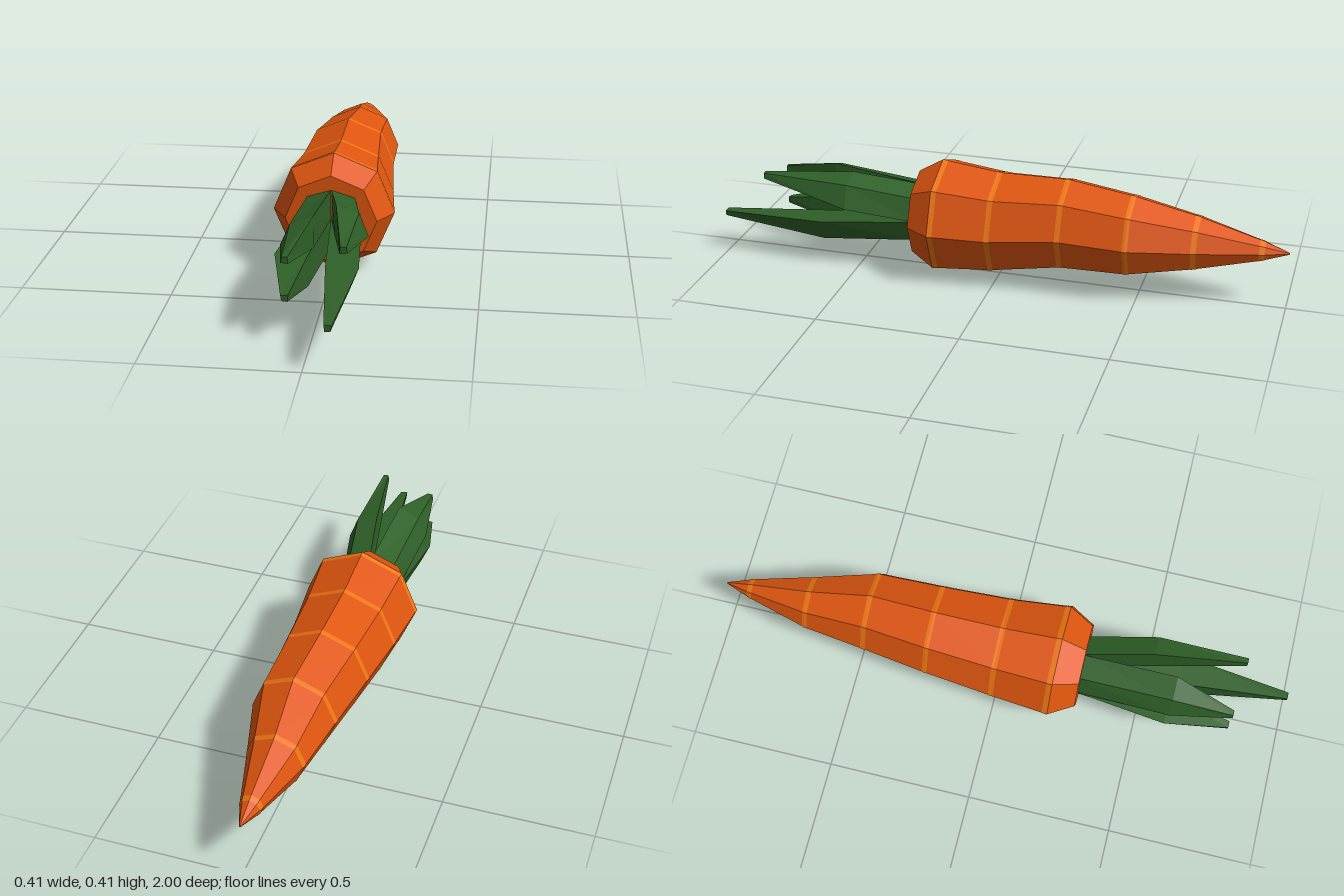
import * as THREE from 'three';

const MID = 0.204; // height of the long axis

// Skin cross-sections (equal point counts, counter-clockwise from +z, ordered back to front)
function loft(rings, capped = true) {
  const pos = [];
  const tri = (a, b, c) => pos.push(...a, ...b, ...c);
  const n = rings[0].length;
  for (let r = 0; r < rings.length - 1; r++) {
    const a = rings[r], b = rings[r + 1];
    for (let i = 0; i < n; i++) {
      const j = (i + 1) % n;
      tri(a[i], a[j], b[j]);
      tri(a[i], b[j], b[i]);
    }
  }
  if (capped) {
    const first = rings[0], last = rings[rings.length - 1];
    for (let i = 1; i < n - 1; i++) {
      tri(last[0], last[i], last[i + 1]);
      tri(first[0], first[i + 1], first[i]);
    }
  }
  const geo = new THREE.BufferGeometry();
  geo.setAttribute('position', new THREE.Float32BufferAttribute(pos, 3));
  geo.computeVertexNormals();
  return geo;
}

// Octagon with a corner straight up
function octagon({ z, r, x, y }) {
  return Array.from({ length: 8 }, (_, i) => {
    const a = (i * Math.PI) / 4;
    return [x + r * Math.cos(a), y + r * Math.sin(a), z];
  });
}

// Root profile from tip to crown: z, radius, centre x, centre y
const PROFILE = [
  [-1, 0.003, 0, MID],
  [-0.91, 0.036, 0, MID],
  [-0.69, 0.097, 0, 0.206],
  [-0.47, 0.144, 0.016, 0.214],
  [-0.24, 0.163, 0, 0.222],
  [0, 0.183, 0, 0.2],
  [0.205, 0.204, 0, MID],
  [0.29, 0.153, 0, MID],
].map(([z, r, x, y]) => ({ z, r, x, y }));

// Interpolated cross-section of the root, slightly enlarged
function sectionAt(z, grow) {
  const k = PROFILE.findIndex((p, i) => i > 0 && z <= p.z);
  const a = PROFILE[k - 1], b = PROFILE[k];
  const t = (z - a.z) / (b.z - a.z);
  const mix = (key) => THREE.MathUtils.lerp(a[key], b[key], t);
  return octagon({ z, r: mix('r') + grow, x: mix('x'), y: mix('y') });
}

// Leaves: quadrant signs, mid and tip z, tip centre, mid corners (inner, on x side, outer, on y side)
const LEAVES = [
  { name: 'leafUpperLeft', sx: 1, sy: 1, zMid: 0.52, zTip: 0.83, tip: [0.104, 0.321],
    mid: [[0.04, 0.243], [0.148, 0.243], [0.118, 0.322], [0.045, 0.345]] },
  { name: 'leafUpperRight', sx: -1, sy: 1, zMid: 0.61, zTip: 0.82, tip: [-0.076, 0.277],
    mid: [[-0.014, 0.235], [-0.12, 0.24], [-0.089, 0.312], [-0.014, 0.343]] },
  { name: 'leafLowerRight', sx: -1, sy: -1, zMid: 0.6, zTip: 0.82, tip: [-0.077, 0.153],
    mid: [[-0.035, 0.203], [-0.14, 0.204], [-0.108, 0.13], [-0.035, 0.097]] },
  { name: 'leafLowerLeft', sx: 1, sy: -1, zMid: 0.62, zTip: 1, tip: [0.077, 0.146],
    mid: [[0.022, 0.175], [0.128, 0.175], [0.099, 0.1], [0.025, 0.07]] },
];

function leafGeometry({ sx, sy, zMid, zTip, tip, mid }) {
  const base = [[0, 0], [0.102, 0], [0.078, 0.078], [0, 0.102]]
    .map(([x, y]) => [sx * x, MID + sy * y]);
  const end = [[-1, -1], [1, -0.8], [0.7, 0.9], [-0.8, 1]]
    .map(([x, y]) => [tip[0] + sx * x * 0.012, tip[1] + sy * y * 0.011]);
  const rings = [[base, 0.28], [mid, zMid], [end, zTip]].map(([pts, z]) => {
    const ring = pts.map(([x, y]) => [x, y, z]);
    return sx * sy < 0 ? ring.reverse() : ring;
  });
  return loft(rings);
}

export function createModel() {
  const group = new THREE.Group();
  group.name = 'carrot';
  const flat = (color) => new THREE.MeshStandardMaterial({ color, flatShading: true });
  const add = (name, geo, mat) => {
    const mesh = new THREE.Mesh(geo, mat);
    mesh.name = name;
    group.add(mesh);
  };

  // Root
  add('root', loft(PROFILE.map(octagon)), flat(0xe0560f));

  // Thin growth rings following the bends of the root
  const ringMat = flat(0xee7614);
  [-0.91, -0.69, -0.47, -0.24, 0, 0.195].forEach((z, i) => {
    const zs = [z - 0.009, z, z + 0.009];
    add(`growthRing${i + 1}`, loft(zs.map((s) => sectionAt(s, 0.001)), false), ringMat);
  });

  // Leaves
  const leafMat = flat(0x2f6028);
  LEAVES.forEach((leaf) => add(leaf.name, leafGeometry(leaf), leafMat));

  return group;
}
